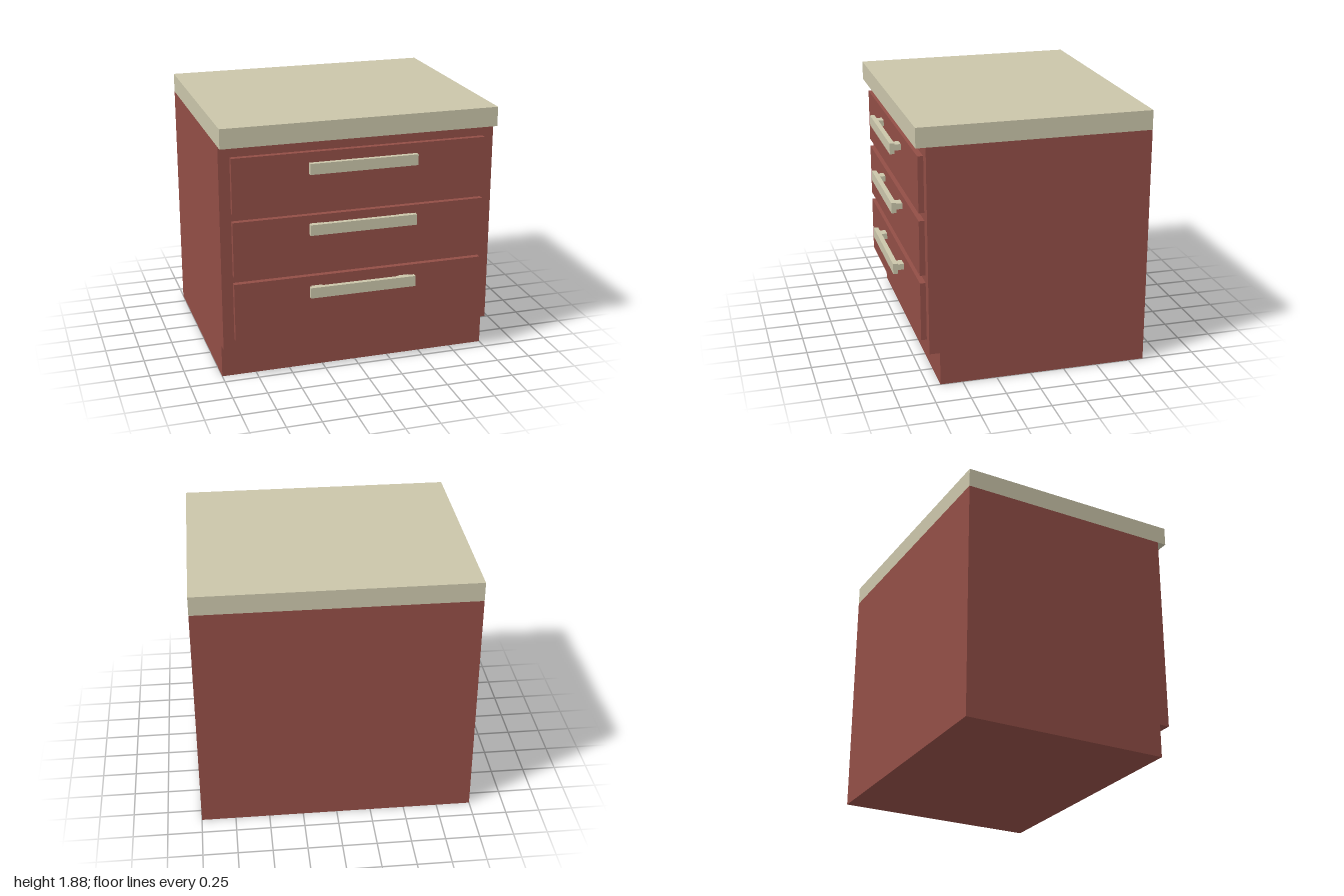
import * as THREE from 'three';

export function createModel() {
  const paint = new THREE.MeshStandardMaterial({ color: 0x924e46 });
  paint.name = 'red paint';
  const cream = new THREE.MeshStandardMaterial({ color: 0xcac5aa });
  cream.name = 'cream';

  // Box given by its minimum and maximum on each axis
  function box(name, material, [x0, x1], [y0, y1], [z0, z1]) {
    const mesh = new THREE.Mesh(new THREE.BoxGeometry(x1 - x0, y1 - y0, z1 - z0), material);
    mesh.position.set((x0 + x1) / 2, (y0 + y1) / 2, (z0 + z1) / 2);
    mesh.name = name;
    return mesh;
  }

  const model = new THREE.Group();
  model.name = 'drawerCabinet';

  // Cabinet body with a recessed toe kick, extruded across x from its side profile
  const profile = new THREE.Shape([
    [-0.86, 0], [0.66, 0], [0.66, 0.243], [0.735, 0.243], [0.735, 1.74], [-0.86, 1.74],
  ].map(([z, y]) => new THREE.Vector2(-z, y)));
  const bodyGeometry = new THREE.ExtrudeGeometry(profile, { depth: 2, bevelEnabled: false });
  bodyGeometry.rotateY(Math.PI / 2).translate(-1, 0, 0);
  const body = new THREE.Mesh(bodyGeometry, paint);
  body.name = 'cabinetBody';
  model.add(body);

  // Worktop overhanging the front
  model.add(box('worktop', cream, [-1, 1], [1.74, 1.88], [-0.86, 0.803]));

  // Drawers: bottom, top and handle centre heights
  const drawers = [
    ['bottomDrawer', 0.32, 0.748, 0.653],
    ['middleDrawer', 0.805, 1.203, 1.122],
    ['topDrawer', 1.26, 1.66, 1.563],
  ];
  for (const [name, y0, y1, handleY] of drawers) {
    const drawer = new THREE.Group();
    drawer.name = name;
    drawer.add(box('drawerFront', paint, [-0.92, 0.92], [y0, y1], [0.735, 0.775]));
    drawer.add(box('handleBar', cream, [-0.39, 0.39], [handleY - 0.039, handleY + 0.039], [0.825, 0.86]));
    for (const x of [-0.323, 0.323]) {
      drawer.add(box('handlePost', cream, [x - 0.04, x + 0.04], [handleY - 0.022, handleY + 0.022], [0.775, 0.825]));
    }
    model.add(drawer);
  }
  return model;
}
